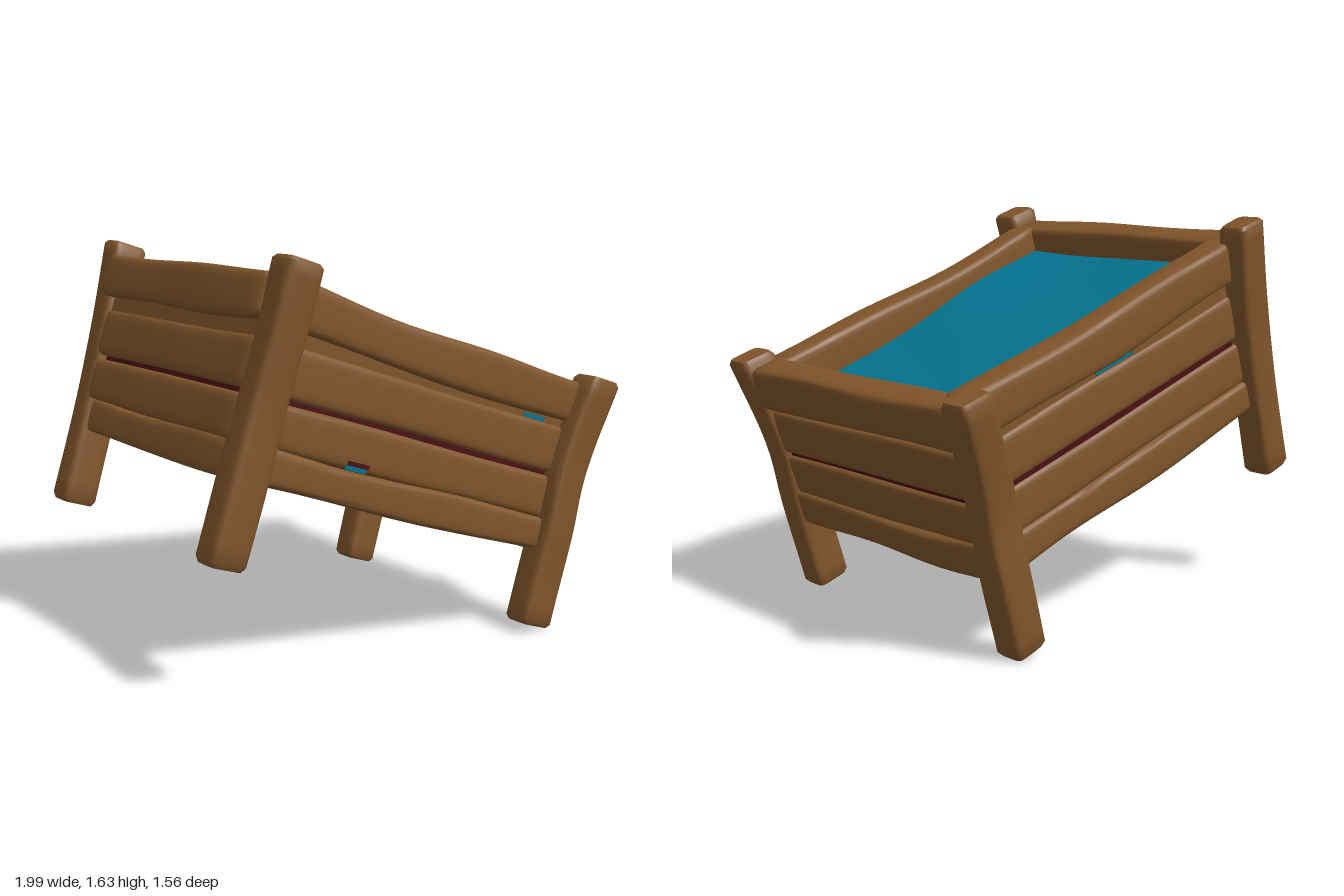
import * as THREE from 'three';
import { toCreasedNormals } from 'three/addons/utils/BufferGeometryUtils.js';

function colour(name, hex) {
  const material = new THREE.MeshStandardMaterial({ color: hex });
  material.name = name;
  return material;
}
const wood = colour('wood', 0x80552b);
const water = colour('water', 0x047390);
const lining = colour('dark lining', 0x4a1014);

const SIDES = 24, STEPS = 16;

// Hand-hewn beam: rounded-rectangle sections along a smooth path.
// axis is the long direction (0 x, 1 y, 2 z); ha and hb are the half sizes
// along the next two axes in cyclic order.
function beam(name, axis, points, ha, hb, seed, wobble) {
  const curve = new THREE.CatmullRomCurve3(points.map(p => new THREE.Vector3(...p)));
  const a = (axis + 1) % 3, b = (axis + 2) % 3;
  const stations = [0, 0.015];
  for (let i = 1; i < STEPS; i++) stations.push(i / STEPS);
  stations.push(0.985, 1);
  const pos = [], idx = [];
  const last = stations.length - 1;
  const soft = v => Math.sign(v) * Math.pow(Math.abs(v), 0.34);
  stations.forEach((t, i) => {
    const c = curve.getPoint(t);
    const inset = i === 0 || i === last ? 0.012 : 0;
    const wa = ha - inset + wobble * Math.sin(t * 9 + seed * 2.1);
    const wb = hb - inset + wobble * Math.sin(t * 7 + seed * 3.7);
    for (let j = 0; j < SIDES; j++) {
      const ang = (j + 0.5) / SIDES * Math.PI * 2;
      const p = c.toArray();
      p[a] += wa * soft(Math.cos(ang)) + wobble * 0.5 * Math.sin(t * 11 + seed);
      p[b] += wb * soft(Math.sin(ang)) + wobble * 0.5 * Math.cos(t * 8 + seed * 1.3);
      pos.push(...p);
    }
  });
  for (let i = 0; i < last; i++) {
    for (let j = 0; j < SIDES; j++) {
      const k = (j + 1) % SIDES;
      const p = i * SIDES + j, q = i * SIDES + k, r = p + SIDES, s = q + SIDES;
      idx.push(p, q, r, q, s, r);
    }
  }
  // End caps
  const start = pos.length / 3;
  pos.push(...curve.getPoint(0).toArray(), ...curve.getPoint(1).toArray());
  for (let j = 0; j < SIDES; j++) {
    const k = (j + 1) % SIDES;
    idx.push(start, k, j, start + 1, last * SIDES + j, last * SIDES + k);
  }
  const geo = new THREE.BufferGeometry();
  geo.setAttribute('position', new THREE.Float32BufferAttribute(pos, 3));
  geo.setIndex(idx);
  const mesh = new THREE.Mesh(toCreasedNormals(geo, 0.75), wood);
  mesh.name = name;
  return mesh;
}

function block(name, size, centre, material) {
  const mesh = new THREE.Mesh(new THREE.BoxGeometry(...size), material);
  mesh.name = name;
  mesh.position.set(...centre);
  return mesh;
}

export function createModel() {
  const model = new THREE.Group();
  model.name = 'waterTrough';
  const body = new THREE.Group();
  body.name = 'tiltedTrough';
  body.rotation.z = -Math.PI / 10;
  model.add(body);

  // Four slightly bent corner legs; z at the foot, the bend and the top
  const rightPath = [[-0.788, -0.585], [-0.79, -0.1], [-0.803, 0.24], [-0.825, 0.565]];
  const leftPath = [[0.8, -0.58], [0.787, -0.2], [0.77, 0.08], [0.805, 0.51]];
  const legs = [
    ['frontRightLeg', rightPath, [0.66, 0.665, 0.685, 0.71]],
    ['backRightLeg', rightPath, [-0.62, -0.64, -0.66, -0.69]],
    ['frontLeftLeg', leftPath, [0.66, 0.668, 0.67, 0.69]],
    ['backLeftLeg', leftPath, [-0.63, -0.64, -0.645, -0.71]],
  ];
  legs.forEach(([name, path, zs], i) => {
    body.add(beam(name, 1, path.map(([x, y], k) => [x, y, zs[k]]), 0.071, 0.08, i, 0.002));
  });

  // Rows from the rim down: bottom, top, half thickness, sag, wobble, x of the right end
  const rows = [
    ['TopRail', 0.295, 0.48, 0.075, -0.004, 0.005, -0.835],
    ['UpperPlank', 0.07, 0.266, 0.054, 0, 0.002, -0.82],
    ['LowerPlank', -0.128, 0.052, 0.054, 0, 0.002, -0.815],
    ['BottomRail', -0.264, -0.118, 0.066, -0.01, 0.005, -0.775],
  ];
  rows.forEach(([part, low, high, thick, sag, wobble, rightX], i) => {
    const v = (low + high) / 2, h = (high - low) / 2;
    // Long sides
    const lift = i === 0 ? 0.027 : 0;
    for (const [side, z, bow] of [['front', 0.615, -0.006], ['back', -0.595, 0.006]]) {
      body.add(beam(side + part, 0,
        [[-0.8, v + lift, z], [0, v + sag, z + bow], [0.77, v, z]],
        h, thick, i * 2 + Math.sign(z), wobble));
    }
    // Short ends
    const leftX = i === 0 ? 0.785 : 0.78;
    const drop = i === 0 ? -0.008 : 0;
    for (const [side, x, up] of [['left', leftX, drop], ['right', rightX, lift]]) {
      body.add(beam(side + 'End' + part, 2,
        [[x, v + up, -0.64], [x, v + up + sag, 0], [x, v + up, 0.64]],
        thick, h, i + x * 3, wobble));
    }
  });

  // Dark lining behind the planks, with a blue underside
  body.add(block('lining', [1.53, 0.45, 1.15], [-0.02, 0.075, 0.01],
    [lining, lining, lining, water, lining, lining]));

  // Lining showing in the middle gap all round and in the left end's upper gap
  body.add(block('frontMiddleGap', [1.4, 0.04, 0.03], [0, 0.061, 0.625], lining));
  body.add(block('backMiddleGap', [1.4, 0.04, 0.03], [0, 0.061, -0.615], lining));
  body.add(block('leftEndMiddleGap', [0.04, 0.04, 1.2], [0.79, 0.061, 0.01], lining));
  body.add(block('rightEndMiddleGap', [0.04, 0.04, 1.2], [-0.81, 0.061, 0.01], lining));
  body.add(block('leftEndUpperGap', [0.04, 0.06, 1.2], [0.79, 0.28, 0.01], lining));

  // Recessed wooden battens under the rim
  body.add(block('frontBatten', [1.5, 0.09, 0.07], [0, 0.285, 0.615], wood));
  body.add(block('backBatten', [1.5, 0.09, 0.07], [0, 0.285, -0.595], wood));
  body.add(block('rightEndBatten', [0.08, 0.09, 1.2], [-0.82, 0.29, 0.01], wood));

  // Water slab, rippled, sloping up toward the right end and lapping the front rim
  const geo = new THREE.BoxGeometry(1.55, 0.06, 1.16, 24, 1, 20);
  const p = geo.attributes.position;
  for (let i = 0; i < p.count; i++) {
    const x = p.getX(i), z = p.getZ(i);
    const ripple = 0.008 * Math.sin(x * 5 + 1) * Math.cos(z * 4 + x);
    const lap = 0.03 * Math.exp(-((x + 0.35) ** 2) * 8 - ((z - 0.55) ** 2) * 20);
    const top = p.getY(i) > 0 ? ripple + lap : 0;
    p.setY(i, p.getY(i) - 0.055 * x + top);
  }
  geo.computeVertexNormals();
  const pool = new THREE.Mesh(geo, water);
  pool.name = 'water';
  pool.position.set(-0.02, 0.318, 0.01);
  body.add(pool);

  // Chipped openings between the boards
  body.add(block('frontChipLining', [0.1, 0.018, 0.008], [-0.3, -0.102, 0.672], lining));
  body.add(block('frontChipWater', [0.1, 0.018, 0.008], [-0.31, -0.12, 0.672], water));
  body.add(block('frontUpperChip', [0.12, 0.02, 0.008], [0.54, 0.276, 0.65], water));
  body.add(block('backUpperChip', [0.22, 0.016, 0.008], [0, 0.278, -0.63], water));
  body.add(block('bottomCornerLining', [0.05, 0.05, 0.05], [-0.7, -0.235, 0.54], lining));

  // Rest the lowest leg on the ground and centre the model
  model.updateMatrixWorld(true);
  const box = new THREE.Box3().setFromObject(model, true);
  const mid = box.getCenter(new THREE.Vector3());
  body.position.set(-mid.x, -box.min.y, -mid.z);
  return model;
}
